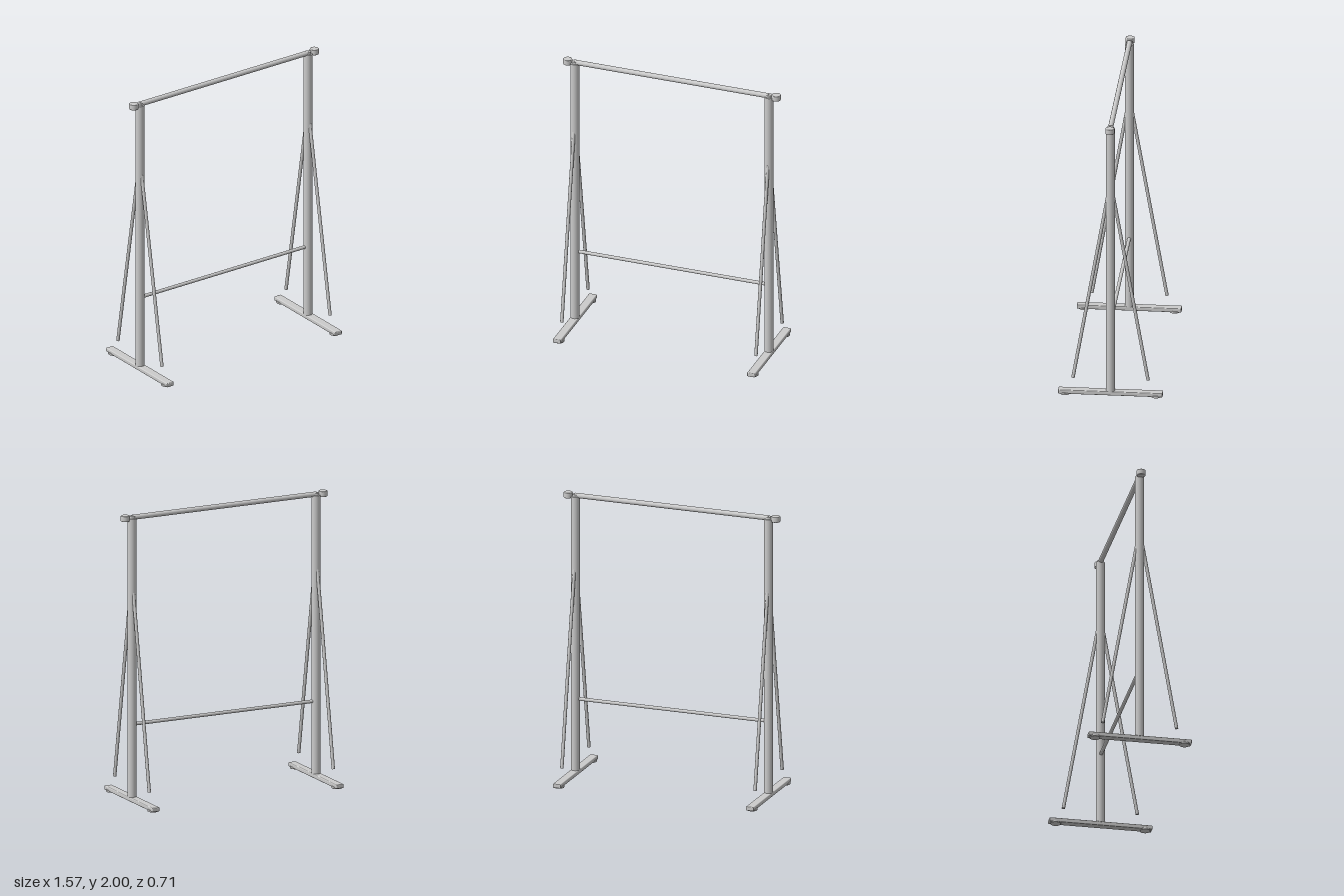
import * as THREE from 'three';
import { RoundedBoxGeometry } from 'three/addons/geometries/RoundedBoxGeometry.js';

const material = new THREE.MeshStandardMaterial({ color: 0xcccccc });

function add(parent, name, geometry, x = 0, y = 0, z = 0) {
  const mesh = new THREE.Mesh(geometry, material);
  mesh.name = name;
  mesh.position.set(x, y, z);
  parent.add(mesh);
  return mesh;
}

// Straight round bar between two points
function rod(parent, name, a, b, radius, sides = 24) {
  const from = new THREE.Vector3(...a), to = new THREE.Vector3(...b);
  const dir = to.clone().sub(from);
  const mesh = add(parent, name, new THREE.CylinderGeometry(radius, radius, dir.length(), sides));
  mesh.position.copy(from).add(to).multiplyScalar(0.5);
  mesh.quaternion.setFromUnitVectors(new THREE.Vector3(0, 1, 0), dir.normalize());
  return mesh;
}

// Upright disc with softened rims
function softDisc(radius, height, bevel) {
  const h = height / 2, r = radius;
  const profile = [[0, -h], [r - bevel, -h], [r - bevel * 0.3, -h + bevel * 0.3], [r, -h + bevel],
    [r, h - bevel], [r - bevel * 0.3, h - bevel * 0.3], [r - bevel, h], [0, h]];
  return new THREE.LatheGeometry(profile.map(p => new THREE.Vector2(...p)), 32);
}

export function createModel() {
  const model = new THREE.Group();
  model.name = 'garmentRack';
  const postX = 0.7;

  for (const [side, s] of [['left', 1], ['right', -1]]) {
    const frame = new THREE.Group();
    frame.name = side + 'Frame';
    model.add(frame);
    const x = s * postX;

    // Foot bar, upright post and its narrow top plug
    add(frame, 'footBar', new RoundedBoxGeometry(0.057, 0.029, 0.71, 3, 0.006), x, 0.0205, 0);
    rod(frame, 'post', [x, 0.03, 0], [x, 1.975, 0], 0.031, 32);
    add(frame, 'postPlug', softDisc(0.021, 0.04, 0.004), x, 1.972, 0);

    // End stop outside the post
    add(frame, 'endStop', softDisc(0.031, 0.04, 0.005), s * 0.752, 1.98, 0);

    // Pads under the foot and slanted braces, front and back
    for (const d of [1, -1]) {
      add(frame, 'footPad', softDisc(0.036, 0.015, 0.003), x, 0.0075, d * 0.308);
      rod(frame, 'brace', [x, 0.12, d * 0.255], [x, 1.46, d * 0.021], 0.0115, 16);
    }
  }

  // Cross bars
  rod(model, 'topRail', [-postX, 1.981, 0], [postX, 1.981, 0], 0.0175);
  rod(model, 'lowerRail', [-postX + 0.02, 0.539, 0], [postX - 0.02, 0.539, 0], 0.012);

  return model;
}
